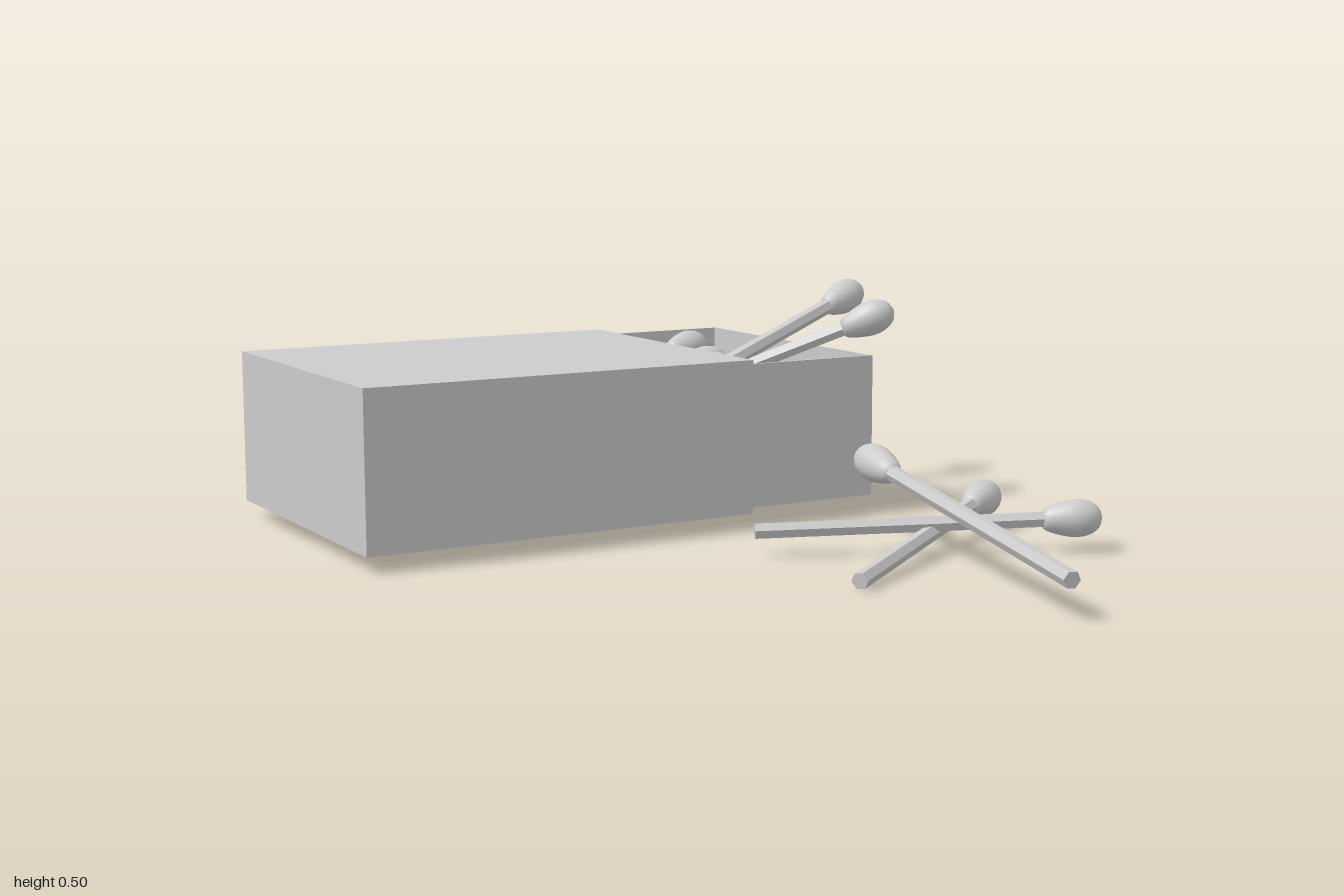
import * as THREE from 'three';

const material = new THREE.MeshStandardMaterial({ color: 0xcccccc });
const flatMaterial = new THREE.MeshStandardMaterial({ color: 0xcccccc, flatShading: true });

// A box given by its min and max corners
function panel(name, [x0, y0, z0], [x1, y1, z1]) {
  const mesh = new THREE.Mesh(new THREE.BoxGeometry(x1 - x0, y1 - y0, z1 - z0), material);
  mesh.position.set((x0 + x1) / 2, (y0 + y1) / 2, (z0 + z1) / 2);
  mesh.name = name;
  return mesh;
}

// Outer sleeve: floor, roof, sides and closed rear end, open towards +x
function buildSleeve() {
  const sleeve = new THREE.Group();
  sleeve.name = 'sleeve';
  const L = 0.451, W = 0.364, y0 = 0.04, y1 = 0.38, t = 0.008;
  sleeve.add(
    panel('sleeveFloor', [-L, y0, -W], [L, y0 + t, W]),
    panel('sleeveRoof', [-L, y1 - t, -W], [L, y1, W]),
    panel('sleeveEnd', [-L, y0 + t, -W], [-L + t, y1 - t, W]),
  );
  for (const s of [-1, 1]) {
    const a = s * W, b = s * (W - t);
    sleeve.add(panel('sleeveSide', [-L + t, y0 + t, Math.min(a, b)], [L, y1 - t, Math.max(a, b)]));
  }
  return sleeve;
}

// Sliding tray: open-topped box pulled part of the way out
function buildTray() {
  const tray = new THREE.Group();
  tray.name = 'tray';
  const x0 = -0.11, x1 = 0.777, W = 0.348, y0 = 0.05, y1 = 0.369, t = 0.006;
  tray.add(
    panel('trayFloor', [x0, y0, -W], [x1, y0 + t, W]),
    panel('trayFront', [x1 - t, y0 + t, -W], [x1, y1, W]),
    panel('trayBack', [x0, y0 + t, -W], [x0 + t, y1, W]),
  );
  for (const s of [-1, 1]) {
    const a = s * W, b = s * (W - t);
    tray.add(panel('traySide', [x0 + t, y0 + t, Math.min(a, b)], [x1 - t, y1, Math.max(a, b)]));
  }
  return tray;
}

const LENGTH = 0.73;
const stickGeometry = new THREE.CylinderGeometry(0.018, 0.018, LENGTH - 0.06, 6);
stickGeometry.translate(0, (LENGTH - 0.06) / 2, 0);

// Egg-shaped head, narrower towards the stick
const headProfile = new THREE.SplineCurve([
  [0, 0], [0.02, 0.003], [0.032, 0.03], [0.04, 0.066], [0.037, 0.096], [0.023, 0.119], [0, 0.128],
].map(([r, y]) => new THREE.Vector2(r, y))).getPoints(18);
headProfile.forEach((p) => { p.x = Math.max(p.x, 0); });
const headGeometry = new THREE.LatheGeometry(headProfile, 20);
headGeometry.translate(0, LENGTH - 0.128, 0);

// A match running from tail to tip
function match(name, tail, tip) {
  const group = new THREE.Group();
  group.name = name;
  const stick = new THREE.Mesh(stickGeometry, flatMaterial);
  stick.name = 'stick';
  const head = new THREE.Mesh(headGeometry, material);
  head.name = 'head';
  group.add(stick, head);
  const dir = tip.clone().sub(tail);
  group.scale.y = dir.length() / LENGTH;
  group.quaternion.setFromUnitVectors(new THREE.Vector3(0, 1, 0), dir.normalize());
  group.position.copy(tail);
  return group;
}

export function createModel() {
  const model = new THREE.Group();
  model.name = 'matchbox';

  const box = new THREE.Group();
  box.name = 'box';
  box.position.set(-0.195, 0, -0.485);
  box.rotation.y = -0.417;
  box.add(buildSleeve(), buildTray());
  model.add(box);

  // Loose matches crossed on the ground: tail, tip
  const loose = [
    [[-0.3, 0.083, 0.985], [0.225, 0.167, 0.215]],
    [[-0.3, 0.022, 0.535], [0.42, 0.078, 0.43]],
    [[-0.17, 0.06, 0.2], [0.305, 0.077, 0.755]],
  ];
  for (const [a, b] of loose) {
    model.add(match('looseMatch', new THREE.Vector3(...a), new THREE.Vector3(...b)));
  }

  // Matches in the tray, the last two rising over its rim: tip, direction
  const packed = [
    [[0.595, 0.335, -0.485], [1, 0.08, 0.06]],
    [[0.59, 0.3, -0.41], [0.26, 0.02, 0.11]],
    [[0.53, 0.295, -0.35], [0.27, 0.02, 0.05]],
    [[0.505, 0.28, -0.22], [0.26, 0.02, 0.13]],
    [[0.47, 0.265, -0.11], [0.25, 0.02, 0.17]],
    [[0.36, 0.22, -0.03], [0.2, 0.01, 0.16]],
    [[0.38, 0.22, 0.06], [0.27, 0.01, 0.12]],
    [[0.745, 0.48, -0.12], [1, 0.3, 0.13]],
    [[0.52, 0.46, 0.115], [0.23, 0.17, 0.36]],
  ];
  for (const [p, d] of packed) {
    const tip = new THREE.Vector3(...p);
    const tail = tip.clone().addScaledVector(new THREE.Vector3(...d).normalize(), -LENGTH);
    model.add(match('packedMatch', tail, tip));
  }
  return model;
}
